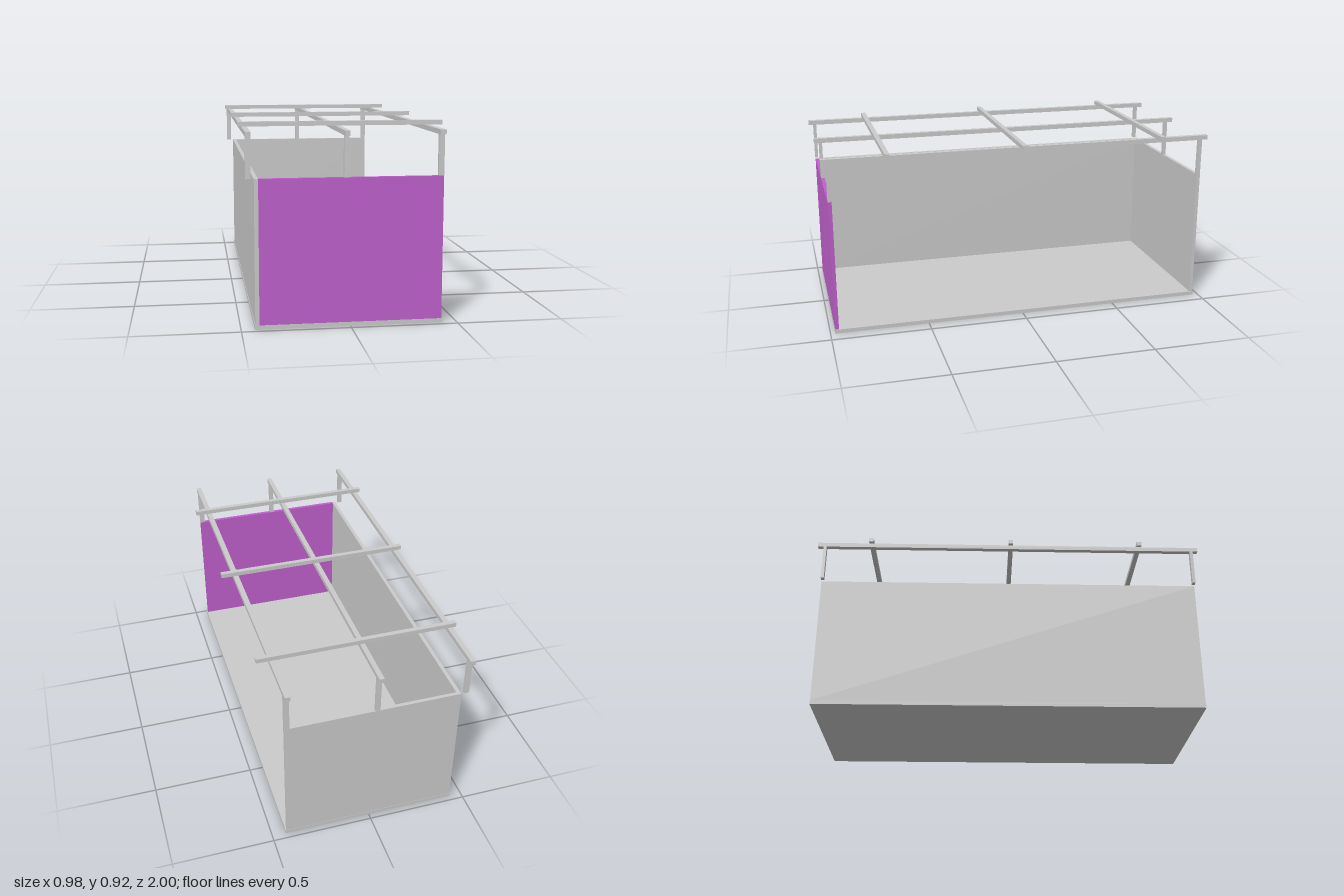
import * as THREE from 'three';

export function createModel() {
  const group = new THREE.Group();
  const grey = new THREE.MeshStandardMaterial({ color: 0xcccccc });
  const purple = new THREE.MeshStandardMaterial({ color: 0xc060cc });

  // Box given by its limits on each axis
  function box(name, [x0, x1], [y0, y1], [z0, z1], material = grey) {
    const mesh = new THREE.Mesh(new THREE.BoxGeometry(x1 - x0, y1 - y0, z1 - z0), material);
    mesh.position.set((x0 + x1) / 2, (y0 + y1) / 2, (z0 + z1) / 2);
    mesh.name = name;
    group.add(mesh);
  }

  // Floor and three walls; the +x side stays open
  const wallY = [0.02, 0.687];
  box('floor', [-0.438, 0.432], [0, 0.02], [-0.972, 0.977]);
  box('sideWall', [-0.436, -0.417], wallY, [-0.971, 0.975]);
  box('backWall', [-0.417, 0.427], wallY, [-0.971, -0.953]);
  box('frontPanel', [-0.417, 0.427], wallY, [0.957, 0.976], purple);

  // Long roof beams, each on a front and a back post
  for (const x of [[-0.474, -0.449], [-0.032, -0.008], [0.402, 0.428]]) {
    box('roofBeam', x, [0.875, 0.898], [-1, 1]);
    box('frontPost', x, [0.687, 0.875], [0.959, 0.975]);
    box('backPost', x, [0.687, 0.875], [-0.97, -0.954]);
  }

  // Cross bars on top of the beams
  for (const z of [-0.72, 0.012, 0.69]) {
    box('crossBar', [-0.492, 0.49], [0.898, 0.92], [z - 0.012, z + 0.012]);
  }
  return group;
}
